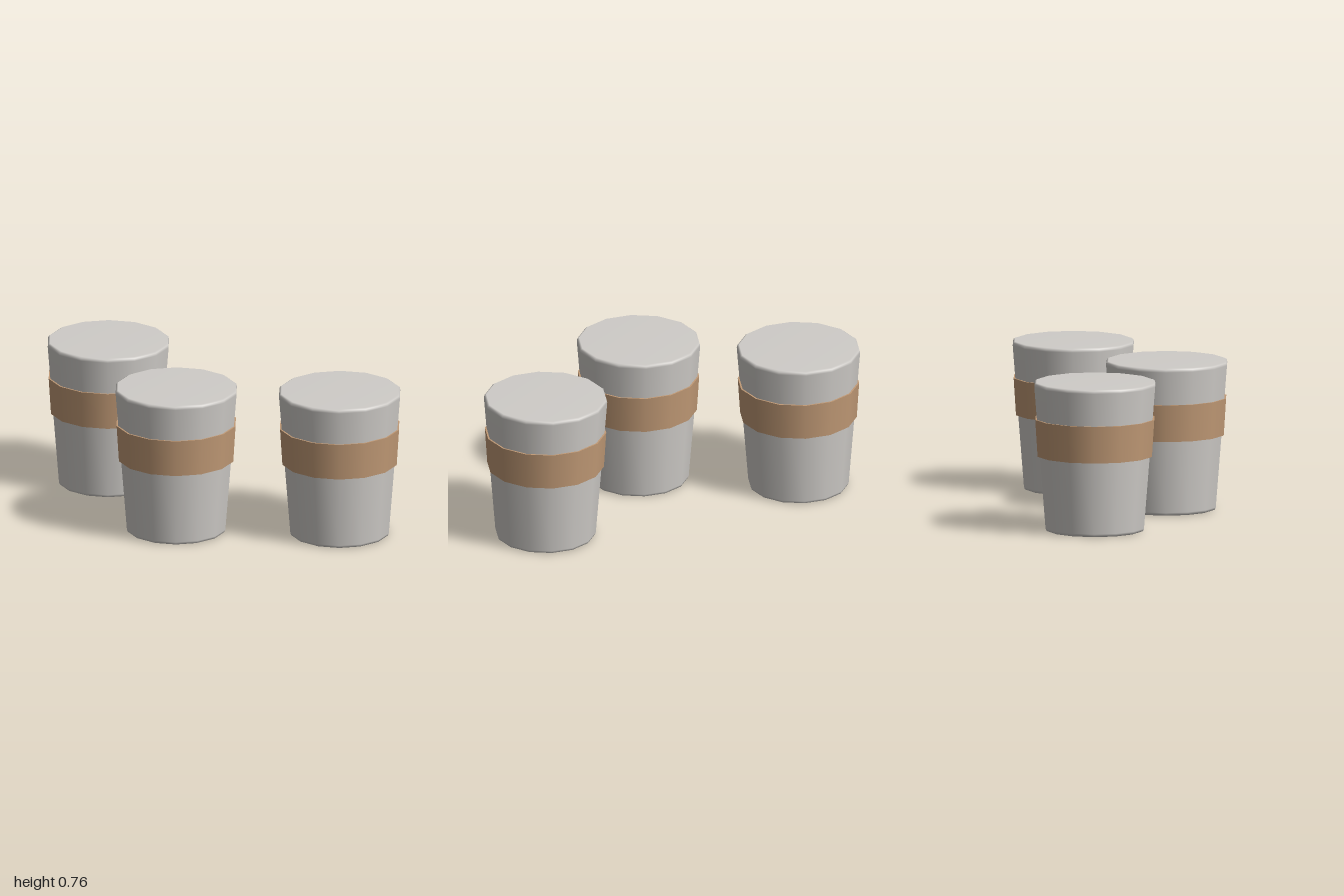
import * as THREE from 'three';

const SIDES = 14;

export function createModel() {
  const model = new THREE.Group();
  model.name = 'cups';
  const grey = new THREE.MeshStandardMaterial({ name: 'pale grey', color: 0xcfccc8 });
  const tan = new THREE.MeshStandardMaterial({ name: 'tan', color: 0xc19a76 });

  // Tapered body with softened rims, closed at both ends
  const profile = [
    [0, 0], [0.24, 0], [0.249, 0.004], [0.254, 0.016],
    [0.312, 0.738], [0.309, 0.751], [0.3, 0.757], [0, 0.757],
  ].map(([r, y]) => new THREE.Vector2(r, y));
  const bodyGeometry = new THREE.LatheGeometry(profile, SIDES);

  // Sleeve around the upper half, following the taper
  const sleeveGeometry = new THREE.CylinderGeometry(0.307, 0.295, 0.188, SIDES);
  sleeveGeometry.translate(0, 0.476, 0);

  const places = [['rightCup', -0.696, -0.253], ['middleCup', -0.065, 0.253], ['leftCup', 0.696, -0.063]];
  for (const [name, x, z] of places) {
    const cup = new THREE.Group();
    cup.name = name;
    const body = new THREE.Mesh(bodyGeometry, grey);
    body.name = 'body';
    const sleeve = new THREE.Mesh(sleeveGeometry, tan);
    sleeve.name = 'sleeve';
    cup.add(body, sleeve);
    cup.position.set(x, 0, z);
    model.add(cup);
  }
  return model;
}
